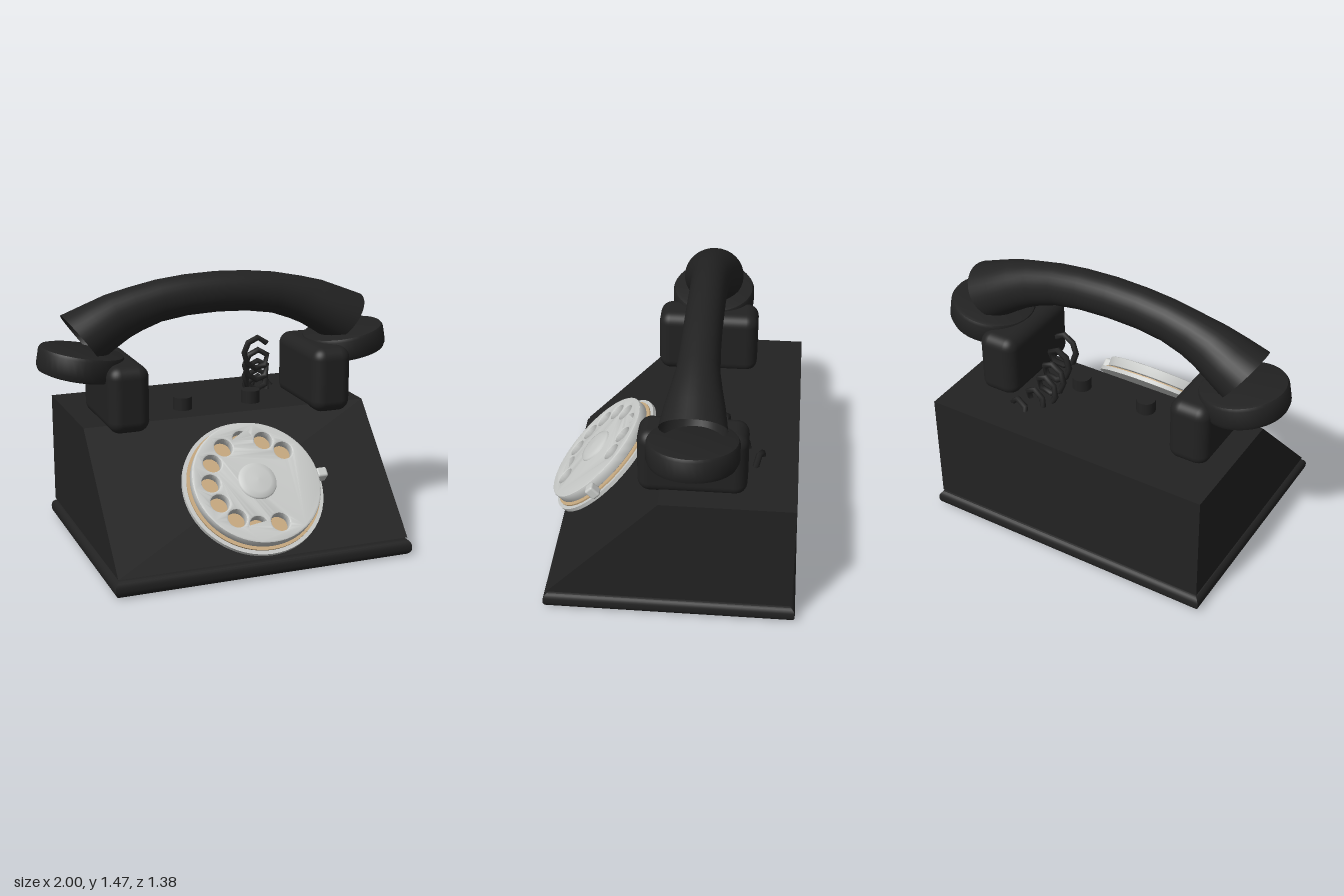
import * as THREE from 'three';
import { RoundedBoxGeometry } from 'three/addons/geometries/RoundedBoxGeometry.js';
import { toCreasedNormals } from 'three/addons/utils/BufferGeometryUtils.js';

function material(name, color, side = THREE.FrontSide) {
  const m = new THREE.MeshStandardMaterial({ color, side });
  m.name = name;
  return m;
}

export function createModel() {
  const black = material('black', 0x222222, THREE.DoubleSide);
  const ivory = material('pale grey', 0xc8cac8);
  const tan = material('tan', 0xc8aa80);

  const model = new THREE.Group();
  model.name = 'rotaryTelephone';
  function add(name, geometry, mat, x = 0, y = 0, z = 0, parent = model) {
    const mesh = new THREE.Mesh(geometry, mat);
    mesh.name = name;
    mesh.position.set(x, y, z);
    parent.add(mesh);
    return mesh;
  }
  // Rectangle outline centred on the origin
  function rectangle(target, w, d) {
    target.moveTo(-w, -d);
    target.lineTo(w, -d);
    target.lineTo(w, d);
    target.lineTo(-w, d);
    target.closePath();
    return target;
  }

  // Base: open frame with a rounded rim
  const frame = rectangle(new THREE.Shape(), 0.785, 0.62);
  frame.holes.push(rectangle(new THREE.Path(), 0.765, 0.6));
  const base = new THREE.ExtrudeGeometry(frame, {
    depth: 0.012, bevelThickness: 0.04, bevelSize: 0.04, bevelSegments: 6,
  });
  base.rotateX(-Math.PI / 2);
  add('baseFrame', toCreasedNormals(base, 0.7), black, 0, 0.04, -0.03);

  // Feet
  for (const x of [-0.65, 0.65]) {
    for (const z of [-0.49, 0.43]) {
      add('foot', new THREE.CylinderGeometry(0.07, 0.065, 0.03, 24), black, x, 0.018, z);
    }
  }

  // Body: hollow box with a sloped front and no floor
  let body = new THREE.BoxGeometry(1.61, 0.617, 1.28);
  body.translate(0, 0.4085, -0.03);
  const p = body.attributes.position;
  for (let i = 0; i < p.count; i++) {
    if (p.getY(i) > 0.5 && p.getZ(i) > 0) p.setZ(i, 0.02);
  }
  const faces = Array.from(body.index.array);
  faces.splice(18, 6);
  body.setIndex(faces);
  body.clearGroups();
  body = body.toNonIndexed();
  body.computeVertexNormals();
  add('body', body, black);

  // Cradle blocks, hook buttons and handset cups
  const cupProfile = [[0, -0.07], [0.19, -0.07], [0.218, -0.06], [0.23, -0.035],
    [0.23, 0.05], [0.222, 0.065], [0.205, 0.07], [0, 0.07]]
    .map(([r, y]) => new THREE.Vector2(r, y));
  for (const s of [-1, 1]) {
    add('cradle', new RoundedBoxGeometry(0.223, 0.36, 0.555, 5, 0.065), black, s * 0.577, 0.868, -0.138);
    add('hookButton', new THREE.CylinderGeometry(0.052, 0.052, 0.08, 24), black, s * 0.2, 0.747, -0.15);
    const cup = toCreasedNormals(new THREE.LatheGeometry(cupProfile, 40), 0.7);
    add('handsetCup', cup, black, s * 0.767, 1.027, -0.15).rotation.z = s * 0.175;
  }

  // Handset grip: open flared tube; each row is top x, top y, bottom x, bottom y, half width
  const half = [
    [0, 1.465, 0, 1.245, 0.1],
    [0.18, 1.458, 0.17, 1.238, 0.1],
    [0.34, 1.44, 0.32, 1.215, 0.103],
    [0.5, 1.407, 0.43, 1.175, 0.11],
    [0.625, 1.375, 0.5, 1.143, 0.127],
    [0.74, 1.33, 0.585, 1.09, 0.15],
    [0.86, 1.283, 0.67, 1.03, 0.168],
  ];
  const rows = [
    ...half.slice(1).reverse().map(([a, b, c, d, w]) => [-a, b, -c, d, w]),
    ...half,
  ];
  const sides = 32;
  const points = [];
  const index = [];
  rows.forEach(([tx, ty, bx, by, w], r) => {
    for (let k = 0; k < sides; k++) {
      const a = (k / sides) * Math.PI * 2;
      const c = Math.cos(a) / 2;
      points.push((tx + bx) / 2 + (tx - bx) * c, (ty + by) / 2 + (ty - by) * c, w * Math.sin(a));
      if (r < rows.length - 1) {
        const i = r * sides + k;
        const j = r * sides + ((k + 1) % sides);
        index.push(i, j, i + sides, j, j + sides, i + sides);
      }
    }
  });
  const grip = new THREE.BufferGeometry();
  grip.setAttribute('position', new THREE.Float32BufferAttribute(points, 3));
  grip.setIndex(index);
  grip.computeVertexNormals();
  add('handsetGrip', grip, black, 0, 0, -0.15);

  // Coiled cord: coarse helix around a hanging curve
  const hang = new THREE.CatmullRomCurve3([
    [0.25, 1.01, -0.2], [0.28, 0.89, -0.26], [0.3, 0.79, -0.32], [0.35, 0.71, -0.41], [0.44, 0.68, -0.54],
  ].map((v) => new THREE.Vector3(...v)));
  const coil = [];
  const steps = 42;
  for (let i = 0; i <= steps; i++) {
    const a = (i / 7) * Math.PI * 2 + 0.3;
    const c = hang.getPoint(i / steps);
    coil.push(c.add(new THREE.Vector3(Math.cos(a) * 0.07, Math.sin(a) * 0.07, 0)));
  }
  add('coiledCord', new THREE.TubeGeometry(new THREE.CatmullRomCurve3(coil), steps, 0.017, 6), black);

  // Dial assembly, local y pointing out of the sloped front
  const dial = new THREE.Group();
  dial.name = 'dial';
  dial.position.set(0, 0.402, 0.384);
  dial.rotation.x = Math.PI / 4;
  model.add(dial);
  add('dialBackPlate', new THREE.CylinderGeometry(0.383, 0.383, 0.022, 64), ivory, 0, 0.011, 0, dial);
  add('numberPlate', new THREE.CylinderGeometry(0.362, 0.362, 0.008, 64), tan, 0, 0.026, 0, dial);

  // Finger wheel with ten holes
  const wheel = new THREE.Shape().absarc(0, 0, 0.338, 0, Math.PI * 2);
  for (let i = 0; i < 10; i++) {
    const a = THREE.MathUtils.degToRad(39.5 + 27.2 * i);
    wheel.holes.push(new THREE.Path().absarc(Math.cos(a) * 0.25, Math.sin(a) * 0.25, 0.06, 0, Math.PI * 2));
  }
  const wheelGeometry = new THREE.ExtrudeGeometry(wheel, {
    depth: 0.045, bevelThickness: 0.006, bevelSize: 0.01, bevelOffset: 0, bevelSegments: 3, curveSegments: 32,
  });
  wheelGeometry.rotateX(-Math.PI / 2);
  add('fingerWheel', toCreasedNormals(wheelGeometry, 0.6), ivory, 0, 0.041, 0, dial);

  // Centre dome
  const dome = [[0.105, 0], [0.1, 0.012], [0.07, 0.02], [0, 0.024]].map(([r, y]) => new THREE.Vector2(r, y));
  add('centreDome', new THREE.LatheGeometry(dome, 40), ivory, 0, 0.091, 0, dial);

  // Finger stop
  add('fingerStop', new RoundedBoxGeometry(0.06, 0.07, 0.055, 3, 0.012), ivory, 0.376, 0.052, -0.01, dial);

  return model;
}
